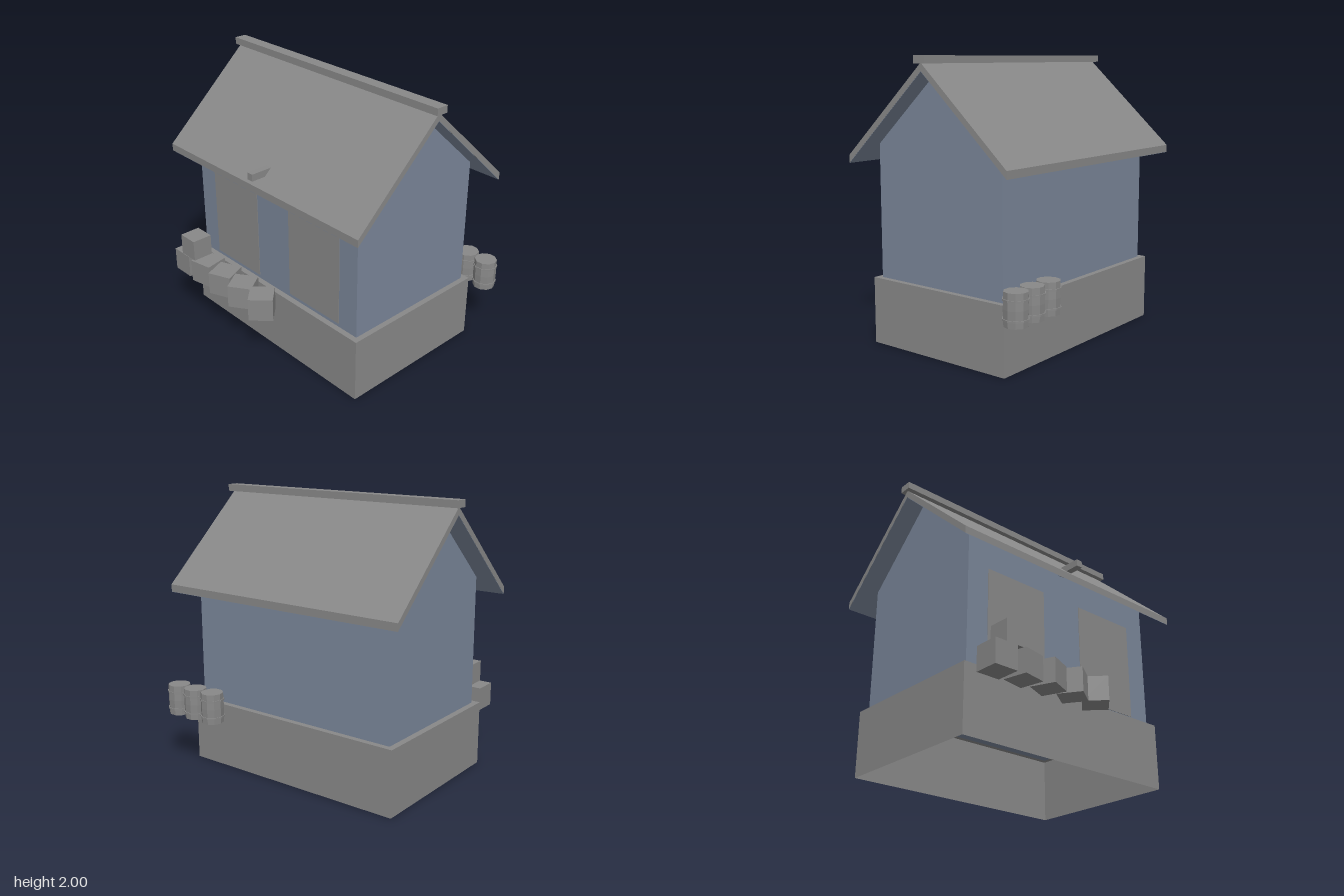
import * as THREE from 'three';

const stone = new THREE.MeshStandardMaterial({ color: 0x888888 });
stone.name = 'stone grey';
const stoneOpen = new THREE.MeshStandardMaterial({ color: 0x888888, side: THREE.DoubleSide });
stoneOpen.name = 'stone grey two-sided';
const paint = new THREE.MeshStandardMaterial({ color: 0x7a8699 });
paint.name = 'slate blue';

function add(parent, name, geometry, material, x = 0, y = 0, z = 0) {
  const mesh = new THREE.Mesh(geometry, material);
  mesh.name = name;
  mesh.position.set(x, y, z);
  parent.add(mesh);
  return mesh;
}

// Box given by its lowest and highest corners
function block(parent, name, material, [x0, y0, z0], [x1, y1, z1]) {
  const g = new THREE.BoxGeometry(x1 - x0, y1 - y0, z1 - z0);
  return add(parent, name, g, material, (x0 + x1) / 2, (y0 + y1) / 2, (z0 + z1) / 2);
}

// Side profile of [z, y] points, extruded along x
function sideProfile(points, x0, x1) {
  const shape = new THREE.Shape(points.map(([z, y]) => new THREE.Vector2(-z, y)));
  const g = new THREE.ExtrudeGeometry(shape, { depth: x1 - x0, bevelEnabled: false });
  return g.rotateY(Math.PI / 2).translate(x0, 0, 0);
}

export function createModel() {
  const model = new THREE.Group();
  model.name = 'boathouse';
  const mid = -0.035; // z of the ridge

  // Hollow foundation, open underneath
  const base = block(model, 'foundation', stoneOpen, [-0.88, 0, -0.615], [0.86, 0.47, 0.545]);
  const faces = Array.from(base.geometry.index.array);
  base.geometry.setIndex(faces.filter((_, i) => i < 18 || i >= 24));
  base.geometry.clearGroups();

  // Gabled walls
  const w = 0.538;
  add(model, 'walls', sideProfile([
    [mid + w, 0.468], [mid + w, 1.405], [mid, 1.895], [mid - w, 1.405], [mid - w, 0.468],
  ], -0.835, 0.82), paint);

  // Doors
  for (const [x0, x1] of [[-0.67, -0.18], [0.155, 0.655]]) {
    block(model, 'door', stone, [x0, 0.497, 0.5], [x1, 1.2, mid + w + 0.004]);
  }

  // Roof slopes, with a thin painted lining below
  const e = 0.685;
  const chevron = (top, bottom, drop, reach) => [
    [mid, top], [mid + reach, top - drop], [mid + reach, bottom - drop],
    [mid, bottom], [mid - reach, bottom - drop], [mid - reach, top - drop],
  ];
  add(model, 'roof', sideProfile(chevron(1.955, 1.902, 0.625, e), -0.98, 0.965), stone);
  add(model, 'roofLining', sideProfile(chevron(1.903, 1.899, 0.624, e - 0.001), -0.979, 0.964), paint);
  block(model, 'ridgeCap', stone, [-1, 1.95, mid - 0.047], [0.985, 2, mid + 0.043]);

  // Hoist beam through the front slope
  block(model, 'hoistBeam', stone, [-0.032, 1.39, 0.48], [0.016, 1.44, 0.69]);

  // Row of crates, each turned a little further, with one on top
  for (let i = 0; i < 5; i++) {
    const crate = add(model, 'crate', new THREE.BoxGeometry(0.174, 0.17, 0.174), stone,
      -0.755 + i * 0.209, 0.465, 0.703);
    crate.rotation.y = i * Math.PI / 16;
  }
  block(model, 'topCrate', stone, [-0.75, 0.55, 0.633], [-0.594, 0.707, 0.787]);

  // Barrels with hoops
  const sides = 10, turn = Math.PI / 10;
  for (const x of [0.572, 0.74, 0.905]) {
    const barrel = new THREE.Group();
    barrel.name = 'barrel';
    barrel.position.set(x, 0.38, -0.743);
    barrel.rotation.y = turn;
    const lower = new THREE.CylinderGeometry(0.083, 0.079, 0.11, sides).toNonIndexed();
    const upper = new THREE.CylinderGeometry(0.08, 0.083, 0.11, sides).toNonIndexed();
    for (const g of [lower, upper]) g.computeVertexNormals();
    add(barrel, 'lowerStaves', lower, stone, 0, 0.055);
    add(barrel, 'upperStaves', upper, stone, 0, 0.165);
    for (const y of [0.045, 0.17]) {
      const hoop = new THREE.CylinderGeometry(0.087, 0.087, 0.012, sides).toNonIndexed();
      hoop.computeVertexNormals();
      add(barrel, 'hoop', hoop, stone, 0, y);
    }
    model.add(barrel);
  }
  return model;
}
